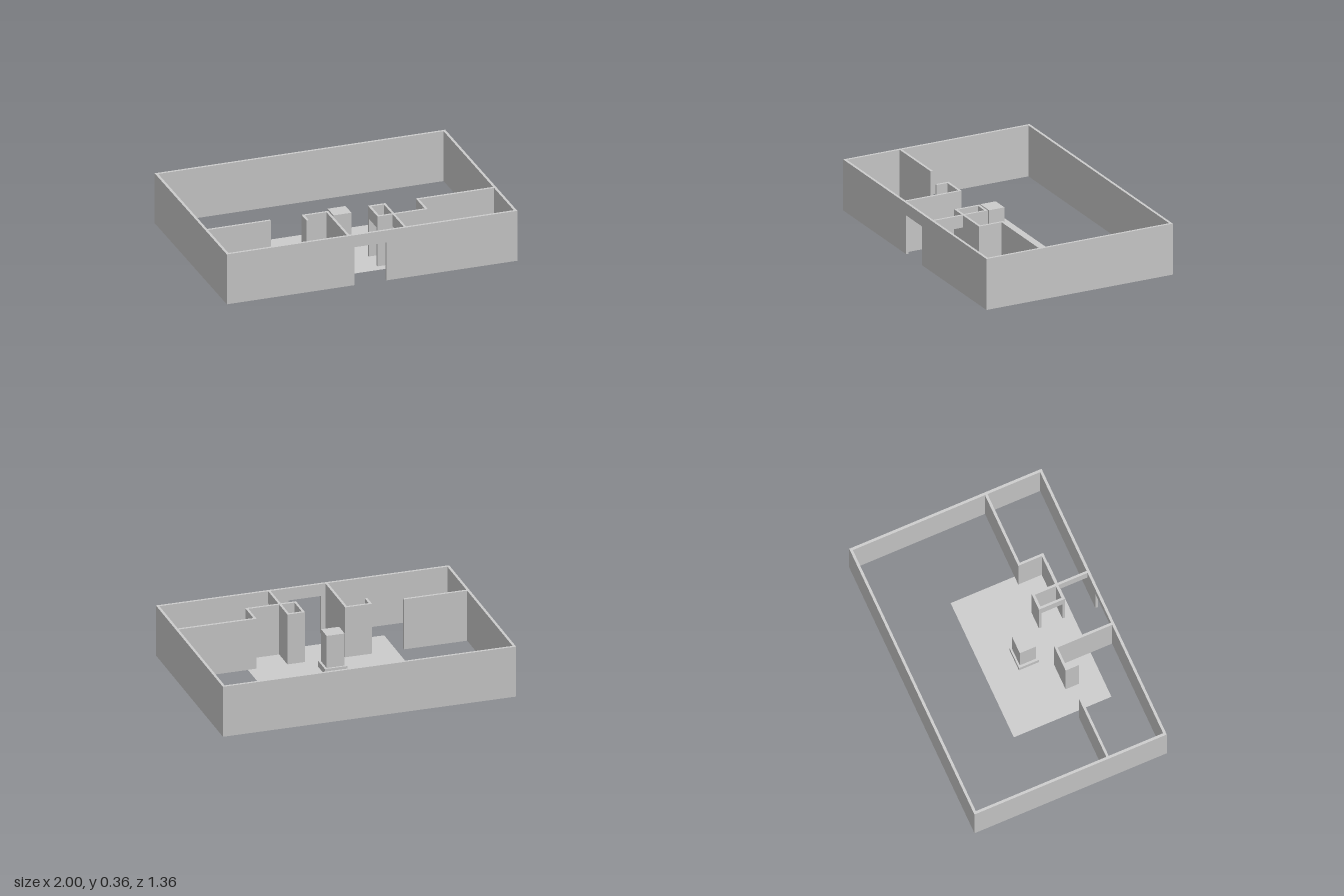
import * as THREE from 'three';

const material = new THREE.MeshStandardMaterial({ color: 0xcccccc, flatShading: true });
const BASE = 0.006, TOP = 0.36, DOOR_TOP = 0.275;

// Box given by its minimum and maximum on each axis.
function block(parent, name, x0, x1, y0, y1, z0, z1) {
  const mesh = new THREE.Mesh(new THREE.BoxGeometry(x1 - x0, y1 - y0, z1 - z0), material);
  mesh.position.set((x0 + x1) / 2, (y0 + y1) / 2, (z0 + z1) / 2);
  mesh.name = name;
  parent.add(mesh);
}

// Upright wall over a rectangle of the plan.
const wall = (parent, name, x0, x1, z0, z1, y0 = BASE) =>
  block(parent, name, x0, x1, y0, TOP, z0, z1);

export function createModel() {
  const model = new THREE.Group();
  model.name = 'floorPlan';

  // Outer walls, the front one with a doorway
  const outer = new THREE.Group();
  outer.name = 'outerWalls';
  const X = 1, Z = 0.68, T = 0.018;
  wall(outer, 'backWall', -X, X, -Z, -Z + T);
  for (const [name, x] of [['rightWall', -X], ['leftWall', X - T]])
    wall(outer, name, x, x + T, -Z + T, Z - T);
  wall(outer, 'frontWallRight', -X, -0.12, Z - T, Z);
  wall(outer, 'frontWallLeft', 0.1, X, Z - T, Z);
  wall(outer, 'frontDoorLintel', -0.12, 0.1, Z - T, Z, DOOR_TOP);
  model.add(outer);

  // Partitions on the right side of the entrance
  const inner = new THREE.Group();
  inner.name = 'partitions';
  wall(inner, 'rightRoomWall', -X + T, -0.55, 0.26, 0.277);
  wall(inner, 'entranceWall', -0.167, -0.15, 0.277, Z - T);
  wall(inner, 'alcoveWall', -0.333, -0.15, 0.26, 0.277);
  wall(inner, 'alcoveReturn', -0.333, -0.316, 0.277, 0.355);

  // Closet with a doorway towards the entrance
  wall(inner, 'closetBack', 0.12, 0.24, 0.272, 0.29);
  wall(inner, 'closetDoorLintel', 0.12, 0.136, 0.29, 0.438, DOOR_TOP);
  wall(inner, 'closetSide', 0.224, 0.24, 0.29, 0.438);
  wall(inner, 'closetFront', 0.12, 0.466, 0.438, 0.455);

  // Left room, reached by a doorway beside the closet
  wall(inner, 'leftRoomLintel', 0.224, 0.24, 0.455, Z - T, DOOR_TOP);
  wall(inner, 'leftRoomReturn', 0.45, 0.466, 0.272, 0.438);
  wall(inner, 'leftRoomWall', 0.466, X - T, 0.272, 0.29);
  model.add(inner);

  // Thin floor panel, seen from both sides
  const floorMaterial = material.clone();
  floorMaterial.side = THREE.DoubleSide;
  const floor = new THREE.Mesh(new THREE.PlaneGeometry(1.01, 0.69), floorMaterial);
  floor.rotation.x = -Math.PI / 2;
  floor.position.set(0.005, BASE + 0.001, 0.165);
  floor.name = 'floor';
  model.add(floor);

  // Free-standing pillar on a plinth
  const pillar = new THREE.Group();
  pillar.name = 'pillar';
  block(pillar, 'plinth', -0.092, 0.063, 0, 0.048, 0.037, 0.178);
  block(pillar, 'shaft', -0.076, 0.047, 0.048, DOOR_TOP, 0.05, 0.163);
  model.add(pillar);

  return model;
}
